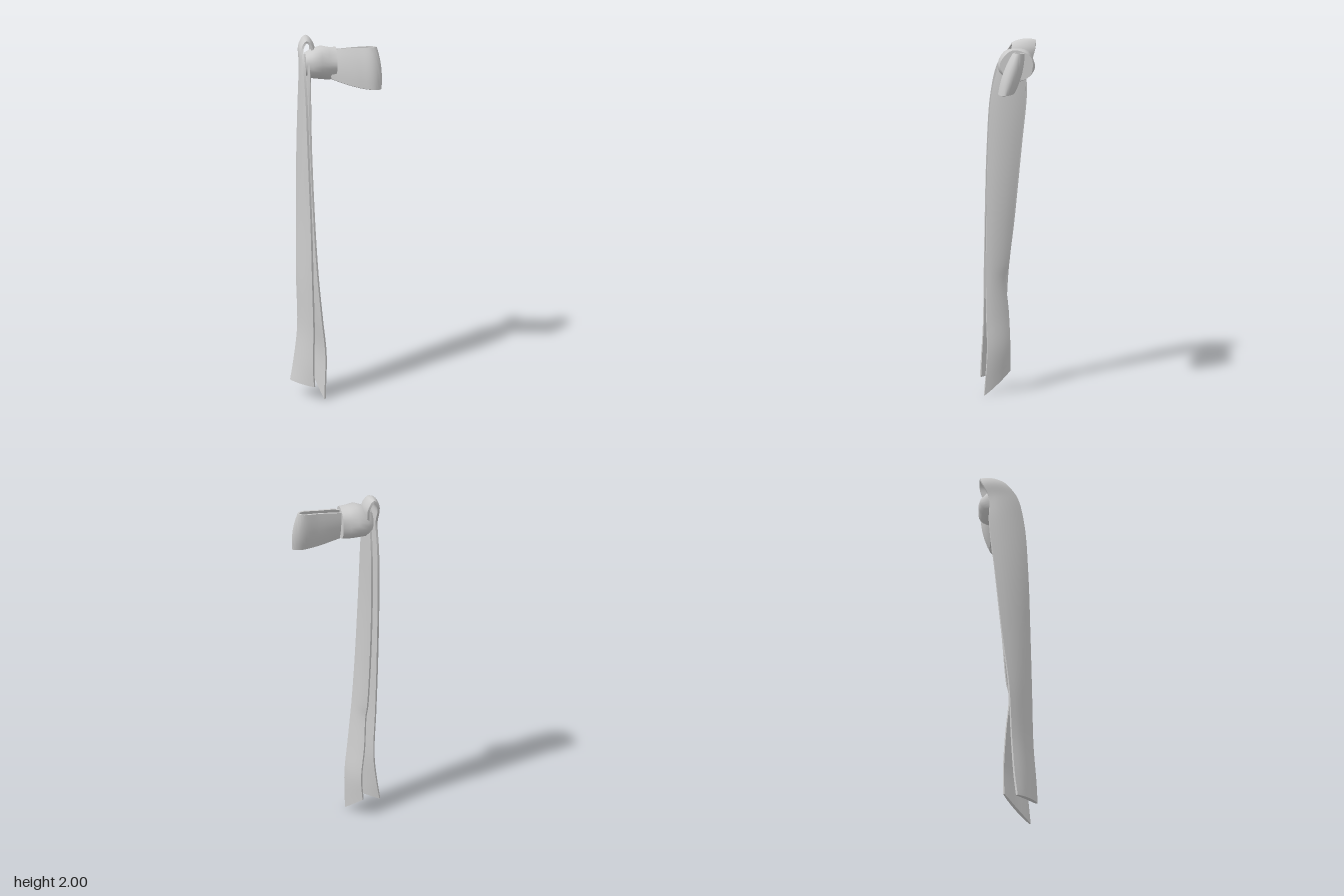
import * as THREE from 'three';
import { toCreasedNormals } from 'three/addons/utils/BufferGeometryUtils.js';

const cloth = new THREE.MeshStandardMaterial({ color: 0xcccccc });
cloth.name = 'greyCloth';

// Skin a row of closed rings and cap both ends
function loft(rings) {
  const n = rings[0].length, last = rings.length - 1, pos = [], idx = [];
  rings.forEach(r => r.forEach(p => pos.push(p.x, p.y, p.z)));
  for (let i = 0; i < last; i++) for (let j = 0; j < n; j++) {
    const k = (j + 1) % n, a = i * n + j, b = i * n + k, c = a + n, d = b + n;
    idx.push(a, b, d, a, d, c);
  }
  // caps zip across the ring, so curved ribbon ends stay tidy
  for (let j = 0; j < n / 2 - 1; j++) {
    const a = j, b = j + 1, c = n - 2 - j, d = n - 1 - j, e = last * n;
    idx.push(a, c, b, a, d, c, e + a, e + b, e + c, e + a, e + c, e + d);
  }
  const g = new THREE.BufferGeometry();
  g.setAttribute('position', new THREE.Float32BufferAttribute(pos, 3));
  g.setIndex(idx);
  return toCreasedNormals(g, 0.9);
}

// Thick strip of cloth between two edge curves; each row is [x,y,z, x,y,z]
function ribbon(rows, thickness, bulge, steps) {
  const edge = o => new THREE.CatmullRomCurve3(rows.map(r => new THREE.Vector3(r[o], r[o + 1], r[o + 2])));
  const e1 = edge(0), e2 = edge(3), across = 6, rings = [];
  for (let i = 0; i <= steps; i++) {
    const t = i / steps, p = e1.getPoint(t), q = e2.getPoint(t);
    const along = e1.getTangent(t).add(e2.getTangent(t));
    const n = q.clone().sub(p).cross(along).normalize();
    const side = s => Array.from({ length: across + 1 }, (_, j) => {
      const f = j / across, round = Math.sin(Math.PI * f);
      const h = s * thickness * (0.25 + 0.25 * Math.sqrt(Math.max(round, 0))) + bulge * round;
      return p.clone().lerp(q, f).addScaledVector(n, h);
    });
    rings.push([...side(1), ...side(-1).reverse()]);
  }
  return loft(rings);
}

export function createModel() {
  const model = new THREE.Group();
  model.name = 'sashBow';
  const add = (name, geometry) => {
    const m = new THREE.Mesh(geometry, cloth);
    m.name = name;
    model.add(m);
  };

  // Outer tail, folded over the top of the knot
  add('outerTail', ribbon([
    [-0.13, 0.09, 0.157, -0.255, 0.09, 0.04],
    [-0.135, 0.2, 0.152, -0.235, 0.2, 0.03],
    [-0.13, 0.4, 0.14, -0.21, 0.4, 0.02],
    [-0.135, 0.7, 0.135, -0.212, 0.7, 0.005],
    [-0.14, 1.0, 0.13, -0.207, 1.0, -0.03],
    [-0.152, 1.4, 0.12, -0.197, 1.4, -0.07],
    [-0.16, 1.7, 0.1, -0.183, 1.7, -0.1],
    [-0.168, 1.87, 0.06, -0.172, 1.86, -0.1],
    [-0.168, 1.95, 0.0, -0.17, 1.95, -0.14],
    [-0.145, 1.975, -0.02, -0.145, 1.99, -0.15],
    [-0.12, 1.945, -0.02, -0.12, 1.95, -0.148],
    [-0.12, 1.88, -0.02, -0.12, 1.88, -0.13],
  ], 0.022, -0.007, 60));

  // Inner tail with a slanted tip
  add('innerTail', ribbon([
    [-0.07, 0.0, 0.13, -0.14, 0.13, -0.012],
    [-0.062, 0.26, 0.112, -0.13, 0.28, -0.012],
    [-0.08, 0.45, 0.117, -0.148, 0.47, -0.002],
    [-0.1, 0.66, 0.122, -0.158, 0.66, 0.014],
    [-0.108, 0.76, 0.122, -0.163, 0.74, -0.002],
    [-0.122, 1.0, 0.12, -0.168, 1.0, -0.025],
    [-0.137, 1.4, 0.112, -0.163, 1.4, -0.065],
    [-0.142, 1.7, 0.092, -0.15, 1.7, -0.095],
    [-0.142, 1.87, 0.05, -0.142, 1.86, -0.09],
  ], 0.02, 0.006, 48));

  // Knot: lightly creased rings of [x, centre y, half height, centre z, half depth]
  const knot = [
    [-0.155, 1.86, 0.06, -0.03, 0.075],
    [-0.12, 1.86, 0.077, -0.043, 0.1],
    [-0.07, 1.866, 0.088, -0.049, 0.1],
    [-0.03, 1.861, 0.086, -0.055, 0.09],
    [0.01, 1.862, 0.082, -0.057, 0.088],
  ].map(([x, cy, ry, cz, rz]) => Array.from({ length: 28 }, (_, j) => {
    const a = j / 28 * Math.PI * 2, k = 1 + 0.03 * Math.sin(5 * a + x * 25);
    return new THREE.Vector3(x, cy + ry * k * Math.cos(a), cz + rz * k * Math.sin(a));
  }));
  add('knot', loft(knot));

  // Bow loop, open along its top and bottom: out along the front, back behind
  add('bowLoop', ribbon([
    [-0.02, 1.925, -0.05, -0.02, 1.785, 0.01],
    [0.05, 1.935, -0.052, 0.06, 1.757, 0.022],
    [0.13, 1.935, -0.052, 0.14, 1.735, 0.026],
    [0.2, 1.937, -0.055, 0.212, 1.723, 0.018],
    [0.228, 1.937, -0.077, 0.247, 1.722, -0.015],
    [0.212, 1.937, -0.103, 0.215, 1.73, -0.05],
    [0.12, 1.935, -0.1, 0.13, 1.745, -0.055],
    [-0.02, 1.925, -0.09, -0.02, 1.785, -0.05],
  ], 0.015, 0.008, 42));

  return model;
}
